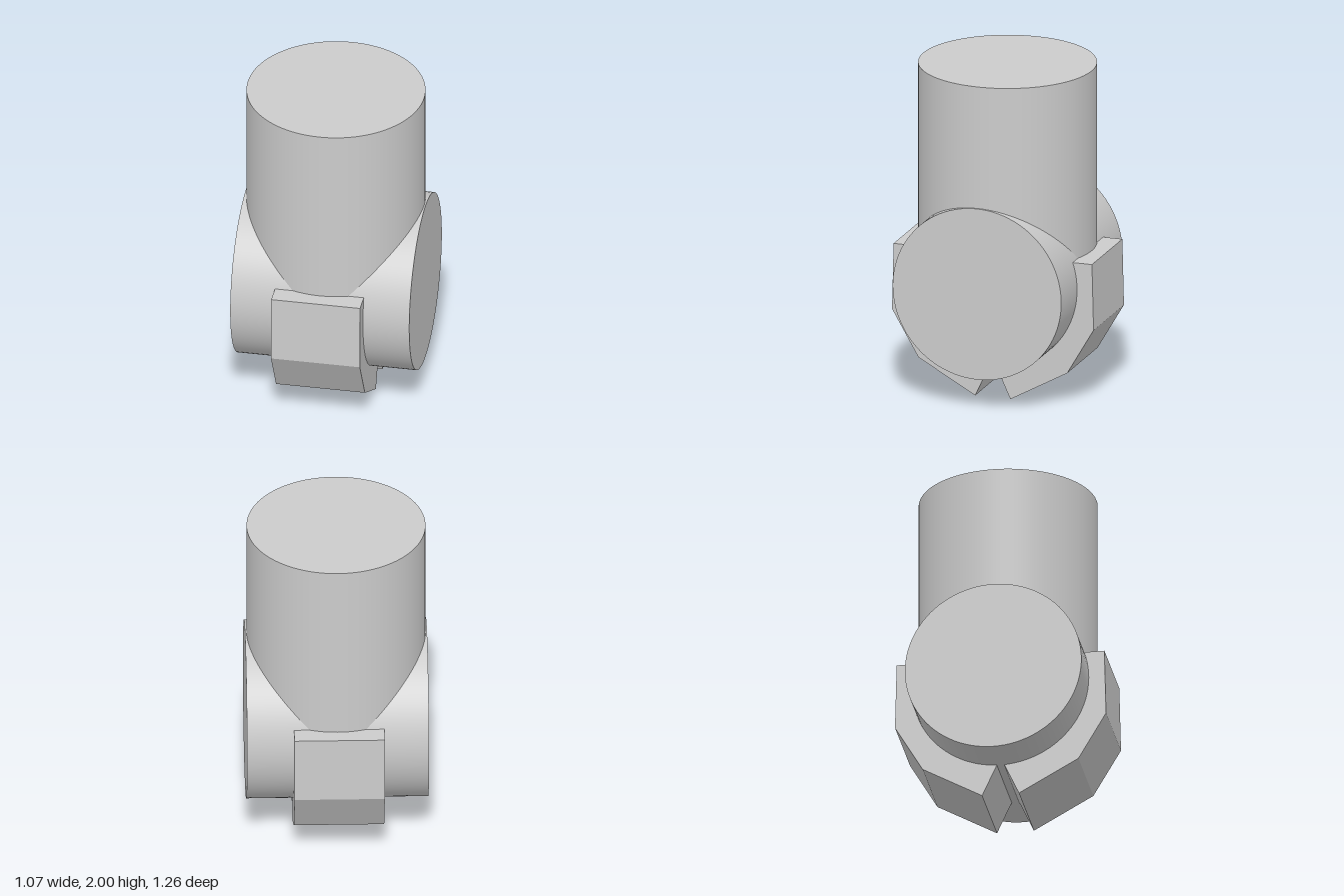
import * as THREE from 'three';

const R = 0.527;      // radius of both tubes
const AXIS_Y = 0.723; // height of the cross barrel's axis

export function createModel() {
  const model = new THREE.Group();
  const material = new THREE.MeshStandardMaterial({ color: 0xcccccc });
  const add = (name, geometry) => {
    const mesh = new THREE.Mesh(geometry, material);
    mesh.name = name;
    model.add(mesh);
    return mesh;
  };

  // Upright post, ending inside the barrel
  const postHeight = 2 - AXIS_Y;
  add('post', new THREE.CylinderGeometry(R, R, postHeight, 96))
    .position.y = AXIS_Y + postHeight / 2;

  // Horizontal barrel across the foot of the post
  const barrel = add('crossBarrel', new THREE.CylinderGeometry(R, R, 1.072, 96));
  barrel.rotation.z = Math.PI / 2;
  barrel.position.y = AXIS_Y;

  // Faceted clamp jaw wrapping one side of the barrel (side = +1 front, -1 back)
  const jaw = (name, side) => {
    const points = [[0.62, 0.89], [0.63, 0.485], [0.465, 0.203], [0.11, 0.005], [0.022, 0.197]];
    // inner curve just under the barrel's skin
    const from = -Math.PI / 2 + 0.04, to = 0.324;
    for (let i = 0; i <= 24; i++) {
      const a = from + (to - from) * i / 24;
      points.push([0.523 * Math.cos(a), AXIS_Y + 0.523 * Math.sin(a)]);
    }
    const shape = new THREE.Shape(points.map(([z, y]) => new THREE.Vector2(side * z, y)));
    const mesh = add(name, new THREE.ExtrudeGeometry(shape, { depth: 0.532, bevelEnabled: false }));
    mesh.rotation.y = -Math.PI / 2;
    mesh.position.x = 0.259;
  };
  jaw('frontJaw', 1);
  jaw('backJaw', -1);

  return model;
}
